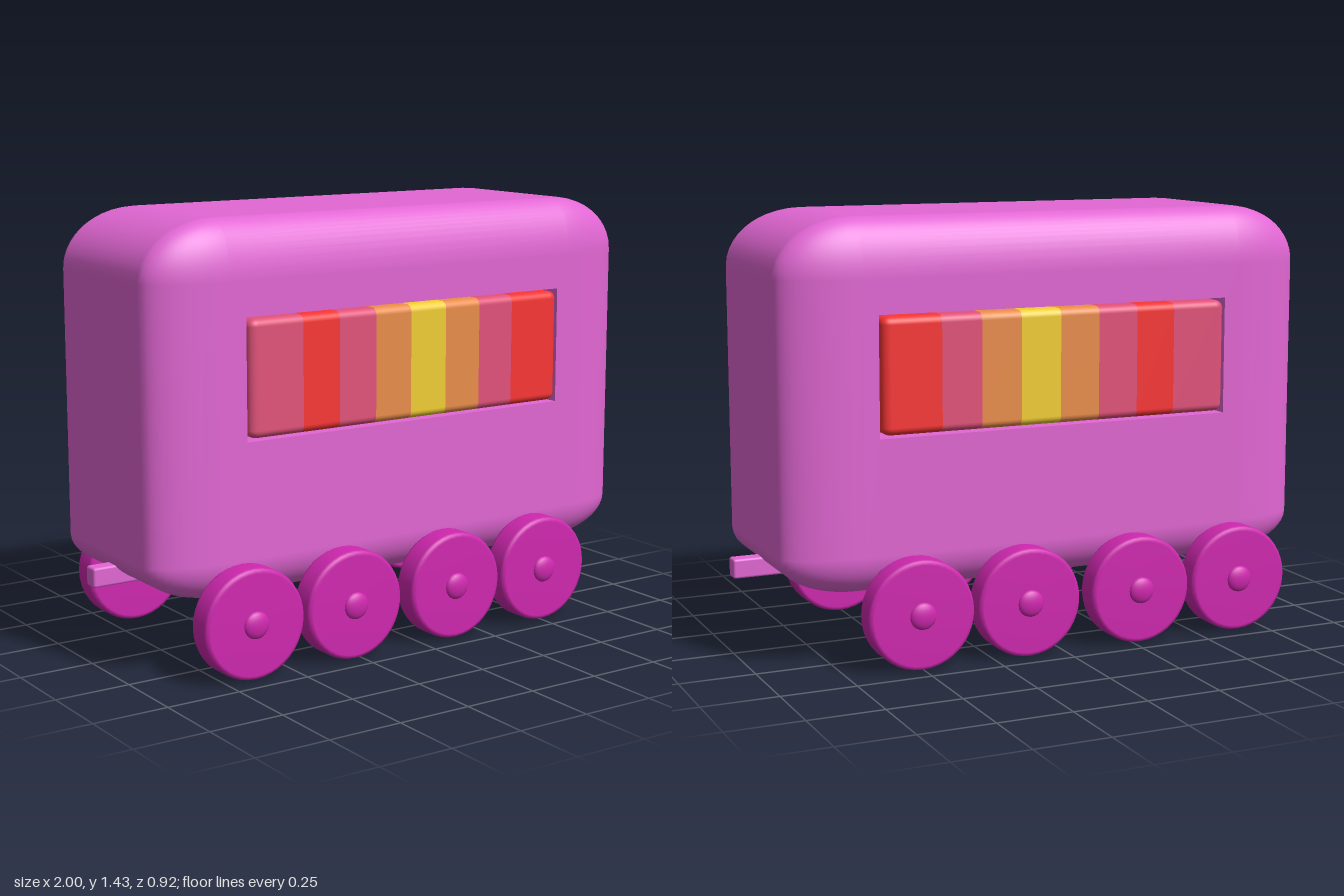
import * as THREE from 'three';
import { RoundedBoxGeometry } from 'three/addons/geometries/RoundedBoxGeometry.js';

const paint = (color) => new THREE.MeshStandardMaterial({ color });

// Rounded block between two corners, with its own corner radius on each of the six sides.
// openZ leaves out the flat front and back panels.
function roundedBlock(min, max, rMin, rMax, segments, openZ = false) {
  const geo = new RoundedBoxGeometry(2, 2, 2, segments, 0.5);
  const pos = geo.attributes.position;
  const nor = geo.attributes.normal;
  const index = [];
  for (let i = 0; i < pos.count; i += 3) {
    const flat = [0, 1, 2].every((k) => Math.abs(nor.getZ(i + k)) > 0.999);
    if (!(openZ && flat)) index.push(i, i + 1, i + 2);
  }
  const n = new THREE.Vector3();
  for (let i = 0; i < pos.count; i++) {
    n.fromBufferAttribute(nor, i);
    for (let a = 0; a < 3; a++) {
      const high = pos.getComponent(i, a) > 0;
      const r = high ? rMax[a] : rMin[a];
      const c = n.getComponent(a);
      pos.setComponent(i, a, (high ? max[a] - r : min[a] + r) + c * r);
      n.setComponent(a, c / Math.max(r, 0.001));
    }
    n.normalize();
    nor.setXYZ(i, n.x, n.y, n.z);
  }
  geo.setIndex(index);
  return geo;
}

function rectangle(PathType, x0, y0, x1, y1) {
  return new PathType([[x0, y0], [x1, y0], [x1, y1], [x0, y1]].map(([x, y]) => new THREE.Vector2(x, y)));
}

export function createModel() {
  const model = new THREE.Group();
  model.name = 'trainCar';
  const add = (name, geo, mat, parent = model) => {
    const mesh = new THREE.Mesh(geo, mat);
    mesh.name = name;
    parent.add(mesh);
    return mesh;
  };
  const pink = paint(0xe267d4);
  const magenta = paint(0xd028b0);

  // Car body: soft shell plus side panels with a window opening through both
  const lo = [-0.94, 0.235, -0.356], hi = [0.922, 1.435, 0.356];
  const rLo = [0.26, 0.13, 0.11], rHi = [0.26, 0.19, 0.11];
  const body = new THREE.Group();
  body.name = 'body';
  model.add(body);
  add('shell', roundedBlock(lo, hi, rLo, rHi, 6, true), pink, body);
  const panel = rectangle(THREE.Shape, lo[0] + rLo[0], lo[1] + rLo[1], hi[0] - rHi[0], hi[1] - rHi[1]);
  panel.holes.push(rectangle(THREE.Path, -0.625, 0.742, 0.612, 1.133));
  const panelGeo = new THREE.ExtrudeGeometry(panel, { depth: hi[2] - lo[2], bevelEnabled: false });
  panelGeo.translate(0, 0, lo[2]);
  add('sidePanels', panelGeo, pink, body);

  // Striped window block running through the body; only the outer ends are rounded
  const rose = paint(0xe2527a), red = paint(0xfa3636), orange = paint(0xeb8e4b), yellow = paint(0xf2ce34);
  const stripes = [rose, red, rose, orange, yellow, orange, rose, red];
  const edges = [-0.618, -0.425, -0.288, -0.148, -0.01, 0.13, 0.268, 0.405, 0.604];
  const windowBlock = new THREE.Group();
  windowBlock.name = 'window';
  model.add(windowBlock);
  stripes.forEach((mat, i) => {
    const left = i === 0 ? 0.03 : 0;
    const right = i === stripes.length - 1 ? 0.03 : 0;
    const geo = roundedBlock([edges[i], 0.75, -0.368], [edges[i + 1], 1.126, 0.368],
      [left, 0.025, 0.025], [right, 0.025, 0.025], 4);
    add('windowStripe', geo, mat, windowBlock);
  });

  // Coupling bars at both ends
  for (const [x0, x1] of [[-1, -0.72], [0.7, 1]]) {
    const r = [0.008, 0.008, 0.008];
    add('coupler', roundedBlock([x0, 0.255, -0.027], [x1, 0.32, 0.027], r, r, 2), pink);
  }

  // Wheels with softened rims and domed hubs, mirrored on both sides
  const rim = [[0, 0], [0.165, 0], [0.176, 0.004], [0.18, 0.015], [0.18, 0.08], [0.176, 0.091], [0.165, 0.095], [0, 0.095]];
  const tyre = new THREE.LatheGeometry(rim.map(([r, y]) => new THREE.Vector2(r, y)), 40);
  const hub = new THREE.SphereGeometry(1, 20, 6, 0, Math.PI * 2, 0, Math.PI / 2);
  hub.scale(0.045, 0.019, 0.045).translate(0, 0.094, 0);
  for (const side of [1, -1]) {
    for (const x of [-0.65, -0.275, 0.13, 0.505]) {
      const wheel = new THREE.Group();
      wheel.name = 'wheel';
      add('tyre', tyre, magenta, wheel);
      add('hub', hub, magenta, wheel);
      wheel.rotation.x = side * Math.PI / 2;
      wheel.position.set(x, 0.18, side * 0.346);
      model.add(wheel);
    }
  }
  return model;
}
